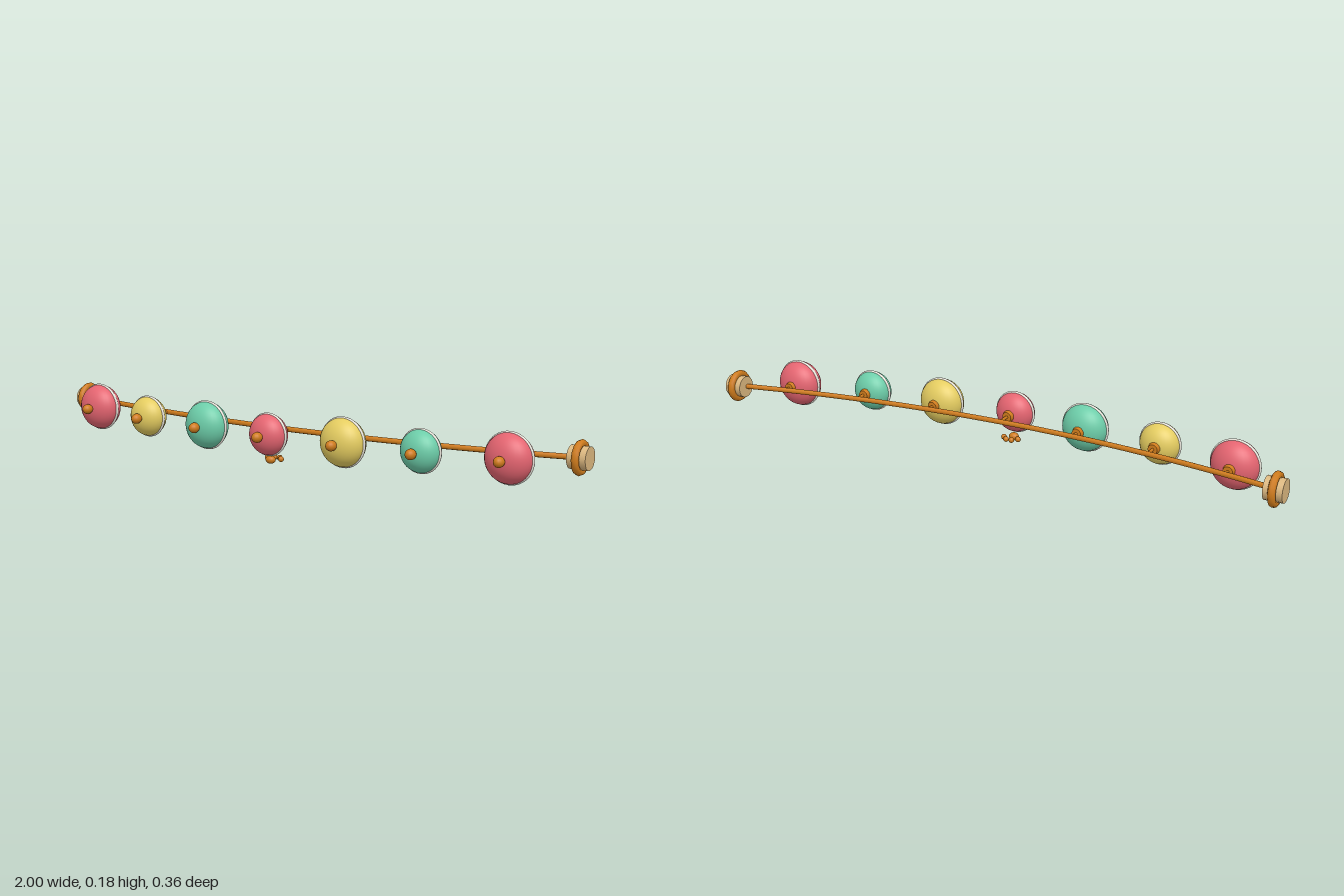
import * as THREE from 'three';

const Y = 0.097;
const mat = (color) => new THREE.MeshStandardMaterial({ color });
const orange = mat(0xd07c1c), tan = mat(0xdcb880), cream = mat(0xe6e2d8);
const red = mat(0xe46470), yellow = mat(0xe4cc60), teal = mat(0x6ccca8);

// depth of the sagging cord at a given x
const cordZ = (x) => -0.011 - 0.113 * (x / 0.97) ** 2;

function add(parent, name, geometry, material, x = 0, y = 0, z = 0) {
  const mesh = new THREE.Mesh(geometry, material);
  mesh.name = name;
  mesh.position.set(x, y, z);
  parent.add(mesh);
  return mesh;
}

// flattened lantern with band, rear cap, front knob and hanging string
function makeLantern(x, z, r, depth, color) {
  const g = new THREE.Group();
  g.name = 'lantern';
  g.position.set(x, Y, z);
  add(g, 'lanternBody', new THREE.SphereGeometry(r, 32, 24).scale(1, 1, depth / r), color);
  add(g, 'lanternBand', new THREE.TorusGeometry(r - 0.002, 0.006, 10, 40), cream);
  add(g, 'rearCap', new THREE.CylinderGeometry(0.022, 0.016, 0.022, 14).rotateX(Math.PI / 2), orange, 0, 0, -depth);
  add(g, 'neck', new THREE.CylinderGeometry(0.011, 0.015, 0.016, 14).rotateX(Math.PI / 2), orange, 0, 0, depth);
  add(g, 'frontKnob', new THREE.SphereGeometry(0.018, 16, 12).scale(0.95, 0.95, 1.1), orange, 0, 0, depth + 0.011);
  const length = z - depth - cordZ(x);
  add(g, 'string', new THREE.CylinderGeometry(0.005, 0.005, length, 8).rotateX(Math.PI / 2), orange, 0, 0, -depth - length / 2);
  return g;
}

export function createModel() {
  const model = new THREE.Group();
  model.name = 'lanternGarland';

  // sagging cord
  const points = [];
  for (let i = 0; i <= 16; i++) {
    const x = -0.96 + 0.12 * i;
    points.push(new THREE.Vector3(x, Y, cordZ(x)));
  }
  add(model, 'cord', new THREE.TubeGeometry(new THREE.CatmullRomCurve3(points), 64, 0.009, 8), orange);

  // wall mounts at both ends
  for (const side of [-1, 1]) {
    const mount = new THREE.Group();
    mount.name = 'endMount';
    mount.position.set(side * 0.97, Y, cordZ(0.97));
    add(mount, 'mountDisc', new THREE.CylinderGeometry(0.037, 0.037, 0.06, 16).rotateZ(Math.PI / 2), tan);
    add(mount, 'mountRing', new THREE.TorusGeometry(0.043, 0.0125, 8, 14).rotateY(Math.PI / 2), orange);
    model.add(mount);
  }

  // lanterns, alternating large and small
  const depths = [0.003, 0.058, 0.076, 0.1, 0.076, 0.058, 0.003];
  const colors = [red, yellow, teal, red, yellow, teal, red];
  depths.forEach((z, i) => {
    const large = i % 2 === 0;
    model.add(makeLantern((i - 3) * 0.267, z, large ? 0.078 : 0.067, large ? 0.058 : 0.052, colors[i]));
  });

  // cluster of beads under the middle lantern
  const beads = new THREE.Group();
  beads.name = 'beadCluster';
  add(beads, 'mainBead', new THREE.SphereGeometry(0.014, 16, 12).scale(1.25, 0.95, 1.05), orange, 0, 0.0133, 0.089);
  for (const side of [-1, 1]) {
    add(beads, 'outerBead', new THREE.SphereGeometry(0.0095, 12, 10), orange, side * 0.026, 0.014, 0.068);
    add(beads, 'innerBead', new THREE.SphereGeometry(0.0095, 12, 10), orange, side * 0.01, 0.014, 0.052);
  }
  model.add(beads);
  return model;
}
